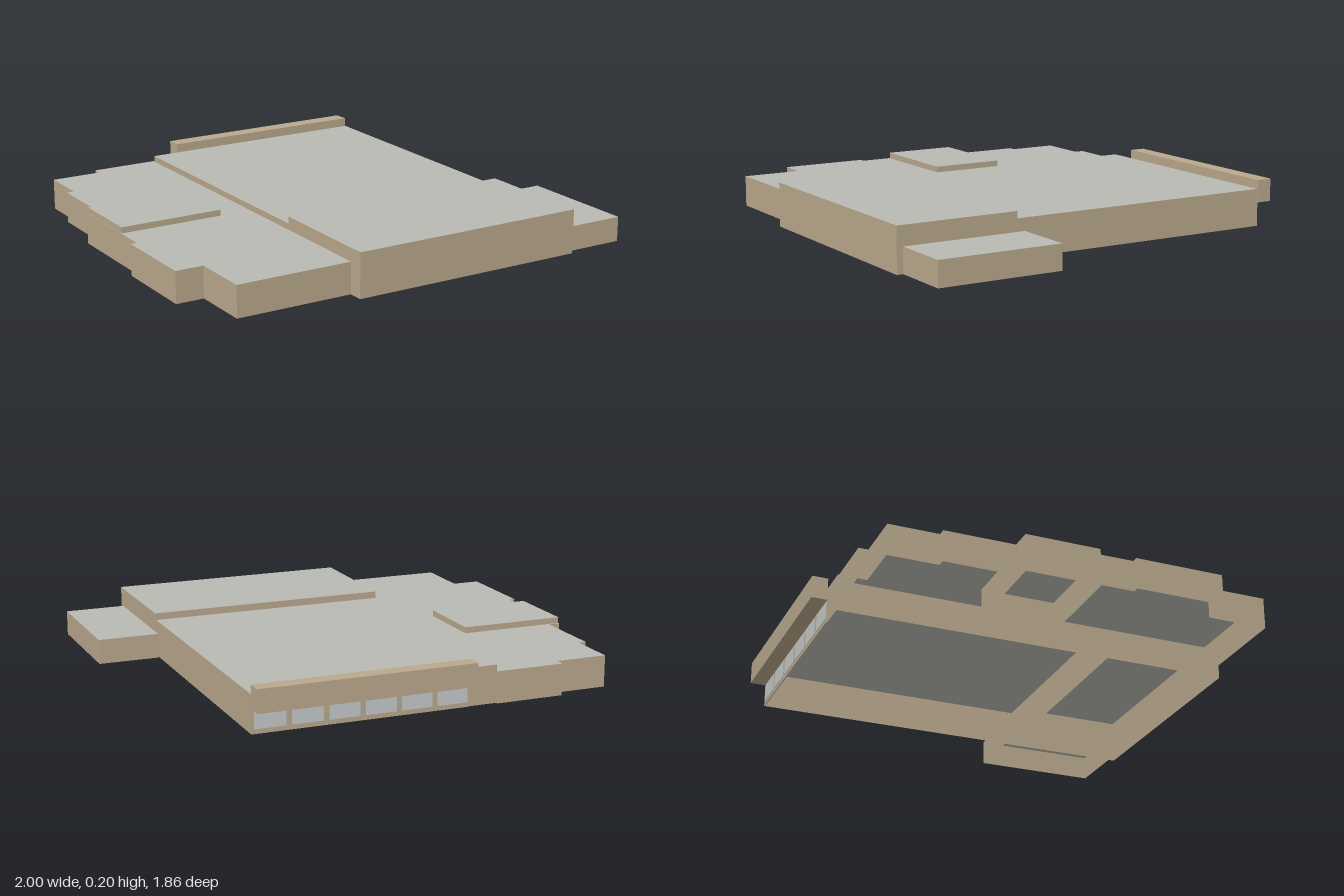
import * as THREE from 'three';

const wallMat = new THREE.MeshStandardMaterial({ name: 'tan wall', color: 0xb9a88c, side: THREE.DoubleSide });
const roofMat = new THREE.MeshStandardMaterial({ name: 'grey roof', color: 0xb9bab4, side: THREE.DoubleSide });
const glassMat = new THREE.MeshStandardMaterial({ name: 'pale glass', color: 0xc4c9c8, side: THREE.DoubleSide });

// Outline of a rectangle as [x, z] corners, walls facing outward
const rect = (x0, x1, z0, z1) => [[x1, z0], [x0, z0], [x0, z1], [x1, z1]];

function mesh(name, geometry, material) {
  const m = new THREE.Mesh(geometry, material);
  m.name = name;
  return m;
}

// Ribbon of upright walls following an outline
function wallGeometry(outline, height) {
  const pos = [];
  outline.forEach(([ax, az], i) => {
    const [bx, bz] = outline[(i + 1) % outline.length];
    pos.push(ax, 0, az, bx, 0, bz, bx, height, bz);
    pos.push(ax, 0, az, bx, height, bz, ax, height, az);
  });
  const g = new THREE.BufferGeometry();
  g.setAttribute('position', new THREE.Float32BufferAttribute(pos, 3));
  g.computeVertexNormals();
  return g;
}

// Open-bottomed block: walls and a flat roof
function block(name, outline, height) {
  const group = new THREE.Group();
  group.name = name;
  const shape = new THREE.Shape(outline.map(([x, z]) => new THREE.Vector2(x, -z)));
  const roof = new THREE.ShapeGeometry(shape).rotateX(-Math.PI / 2).translate(0, height, 0);
  group.add(mesh(name + 'Walls', wallGeometry(outline, height), wallMat));
  group.add(mesh(name + 'Roof', roof, roofMat));
  return group;
}

function box(name, x0, x1, y0, y1, z0, z1, material) {
  const g = new THREE.BoxGeometry(x1 - x0, y1 - y0, z1 - z0);
  g.translate((x0 + x1) / 2, (y0 + y1) / 2, (z0 + z1) / 2);
  return mesh(name, g, material);
}

export function createModel() {
  const model = new THREE.Group();
  model.name = 'building';

  // Main halls and side annex
  model.add(block('mainHall', rect(-0.354, 0.722, -0.856, 0.378), 0.165));
  model.add(block('frontHall', rect(-0.354, 0.726, 0.378, 0.928), 0.196));
  model.add(block('annex', rect(0.726, 1, 0.342, 0.9), 0.11));

  // Stepped wing with a raised room
  model.add(block('sideWing', [
    [-0.354, -0.866], [-0.656, -0.866], [-0.656, -0.824], [-0.886, -0.824],
    [-0.886, -0.604], [-0.92, -0.604], [-0.92, -0.28], [-0.972, -0.28],
    [-0.972, 0.202], [-1, 0.202], [-1, 0.595], [-0.876, 0.595],
    [-0.876, 0.861], [-0.354, 0.861],
  ], 0.138));
  model.add(block('raisedRoom', rect(-0.97, -0.502, -0.273, 0.057), 0.165));

  // Rear entrance: deep fascia over a row of windows
  model.add(box('rearFascia', -0.23, 0.722, 0.104, 0.204, -0.93, -0.86, wallMat));
  model.add(box('windowSurround', -0.23, 0.722, 0, 0.104, -0.86, -0.856, wallMat));
  const count = 6, pitch = 0.952 / count;
  for (let i = 0; i < count; i++) {
    const x = -0.23 + i * pitch;
    model.add(box('rearWindow', x + 0.012, x + pitch - 0.012, 0.02, 0.1, -0.862, -0.859, glassMat));
  }
  return model;
}
